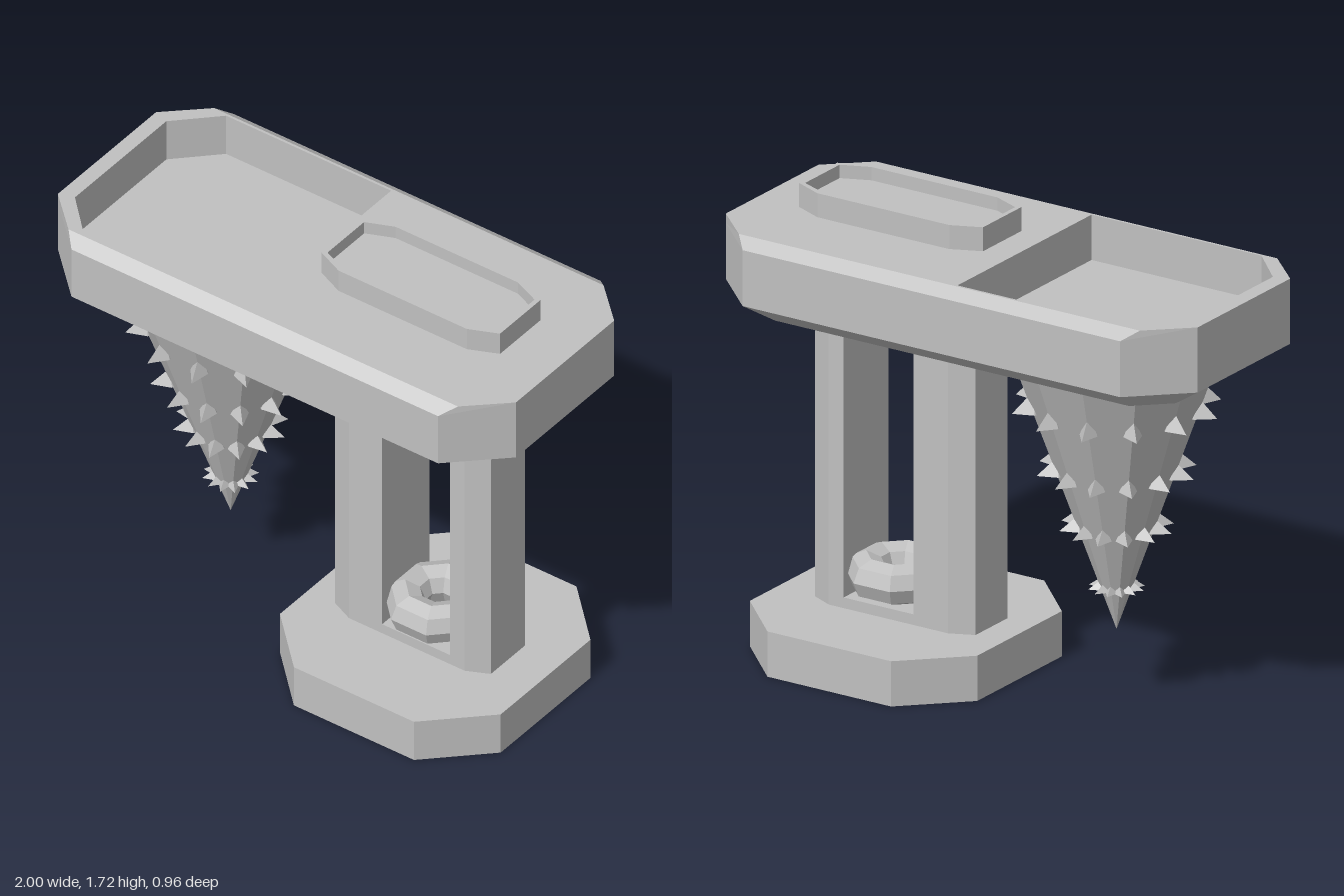
import * as THREE from 'three';

const metal = new THREE.MeshStandardMaterial({ color: 0xc0c0c0, flatShading: true });
metal.name = 'grey metal';

// Octagon outline in the xz plane, counter-clockwise seen from above
function octagon(hx, hz, cutX, cutZ, cx = 0, cz = 0) {
  const a = hx - cutX, b = hz - cutZ;
  return [[hx, b], [hx, -b], [a, -hz], [-a, -hz], [-hx, -b], [-hx, b], [-a, hz], [a, hz]]
    .map(([x, z]) => [x + cx, z + cz]);
}

// Skin a list of [y, outline] sections, with optional end caps
function loft(sections, capStart = true, capEnd = true) {
  const pos = [];
  const put = (s, i) => {
    const p = s[1][i % s[1].length];
    pos.push(p[0], s[0], p[1]);
  };
  const n = sections[0][1].length;
  for (let k = 0; k < sections.length - 1; k++) {
    const a = sections[k], b = sections[k + 1];
    for (let i = 0; i < n; i++) {
      put(a, i); put(a, i + 1); put(b, i + 1);
      put(a, i); put(b, i + 1); put(b, i);
    }
  }
  const first = sections[0], last = sections[sections.length - 1];
  for (let i = 1; i < n - 1; i++) {
    if (capStart) { put(first, 0); put(first, i + 1); put(first, i); }
    if (capEnd) { put(last, 0); put(last, i); put(last, i + 1); }
  }
  const g = new THREE.BufferGeometry();
  g.setAttribute('position', new THREE.Float32BufferAttribute(pos, 3));
  g.computeVertexNormals();
  return g;
}

export function createModel() {
  const model = new THREE.Group();
  const add = (name, geometry, parent = model) => {
    const m = new THREE.Mesh(geometry, metal);
    m.name = name;
    parent.add(m);
    return m;
  };

  // Base plate
  const baseOutline = octagon(0.482, 0.48, 0.22, 0.215, 0.433);
  add('base', loft([[0, baseOutline], [0.17, baseOutline]]));

  // Pillar frame: two posts, a sill and a lintel around an open window
  const posts = {
    rightPost: [[0.305, 0.14], [0.305, -0.14], [0.16, -0.14], [0.07, -0.1], [0.07, 0.1], [0.16, 0.14]],
    leftPost: [[0.75, 0.1], [0.75, -0.1], [0.665, -0.14], [0.602, -0.14], [0.602, 0.14], [0.665, 0.14]],
  };
  for (const [name, outline] of Object.entries(posts)) add(name, loft([[0.17, outline], [1.285, outline]]));
  add('windowSill', new THREE.BoxGeometry(0.297, 0.04, 0.28)).position.set(0.4535, 0.19, 0);
  add('windowLintel', new THREE.BoxGeometry(0.297, 0.025, 0.28)).position.set(0.4535, 1.2725, 0);

  // Ring lying in the window
  const ring = add('ring', new THREE.TorusGeometry(0.125, 0.075, 8, 8).rotateZ(Math.PI / 8).rotateX(Math.PI / 2));
  ring.position.set(0.453, 0.292, 0);

  // Slab with bevelled edges and a sunken pocket
  const slab = new THREE.Group();
  slab.name = 'slab';
  model.add(slab);
  const full = octagon(1, 0.48, 0.2, 0.19);
  const rim = octagon(1, 0.43, 0.15, 0.14);
  const pocket = [[-0.07, 0.42], [-0.07, -0.42], [-0.79, -0.42], [-0.94, -0.27], [-0.94, 0.27], [-0.79, 0.42]];
  const toPoints = (outline) => outline.map(([x, z]) => new THREE.Vector2(x, -z));
  add('slabBody', loft([[1.285, octagon(0.87, 0.35, 0.12, 0.115)], [1.37, full], [1.58, full], [1.615, rim]], true, false), slab);
  const topShape = new THREE.Shape(toPoints(rim));
  topShape.holes.push(new THREE.Path(toPoints(pocket)));
  add('slabTop', new THREE.ShapeGeometry(topShape).rotateX(-Math.PI / 2).translate(0, 1.615, 0), slab);
  add('slabPocket', loft([[1.615, pocket], [1.445, pocket]], false, true), slab);

  // Shallow tray on a low foot
  const foot = octagon(0.34, 0.14, 0.09, 0.04, 0.41);
  add('trayFoot', loft([[1.612, foot], [1.632, foot]]));
  const outer = octagon(0.39, 0.168, 0.11, 0.048, 0.412, -0.004);
  const inner = octagon(0.372, 0.152, 0.105, 0.044, 0.412, -0.004);
  add('tray', loft([[1.63, outer], [1.72, outer], [1.72, inner], [1.67, inner]]));

  // Hanging twelve-sided cone
  const drill = new THREE.Group();
  drill.name = 'drill';
  drill.position.x = -0.46;
  model.add(drill);
  const topY = 1.285, tipY = 0.275, radius = 0.362, sides = 12;
  add('drillCone', new THREE.ConeGeometry(radius, topY - tipY, sides)
    .rotateX(Math.PI).rotateY(Math.PI / sides).translate(0, (topY + tipY) / 2, 0), drill);

  // Rows of upright teeth along the cone's edges: [base y, reach, height]
  for (const [y, reach, height] of [[1.11, 0.075, 0.078], [0.87, 0.073, 0.065], [0.657, 0.068, 0.055], [0.43, 0.046, 0.033]]) {
    const r = radius * (y - tipY) / (topY - tipY);
    const tooth = new THREE.ConeGeometry(reach, height, 4).scale(0.45, 1, 1).translate(0, y + height / 2, r);
    for (let i = 0; i < sides; i++) {
      add('tooth', tooth, drill).rotation.y = (i + 0.5) * 2 * Math.PI / sides;
    }
  }
  return model;
}
